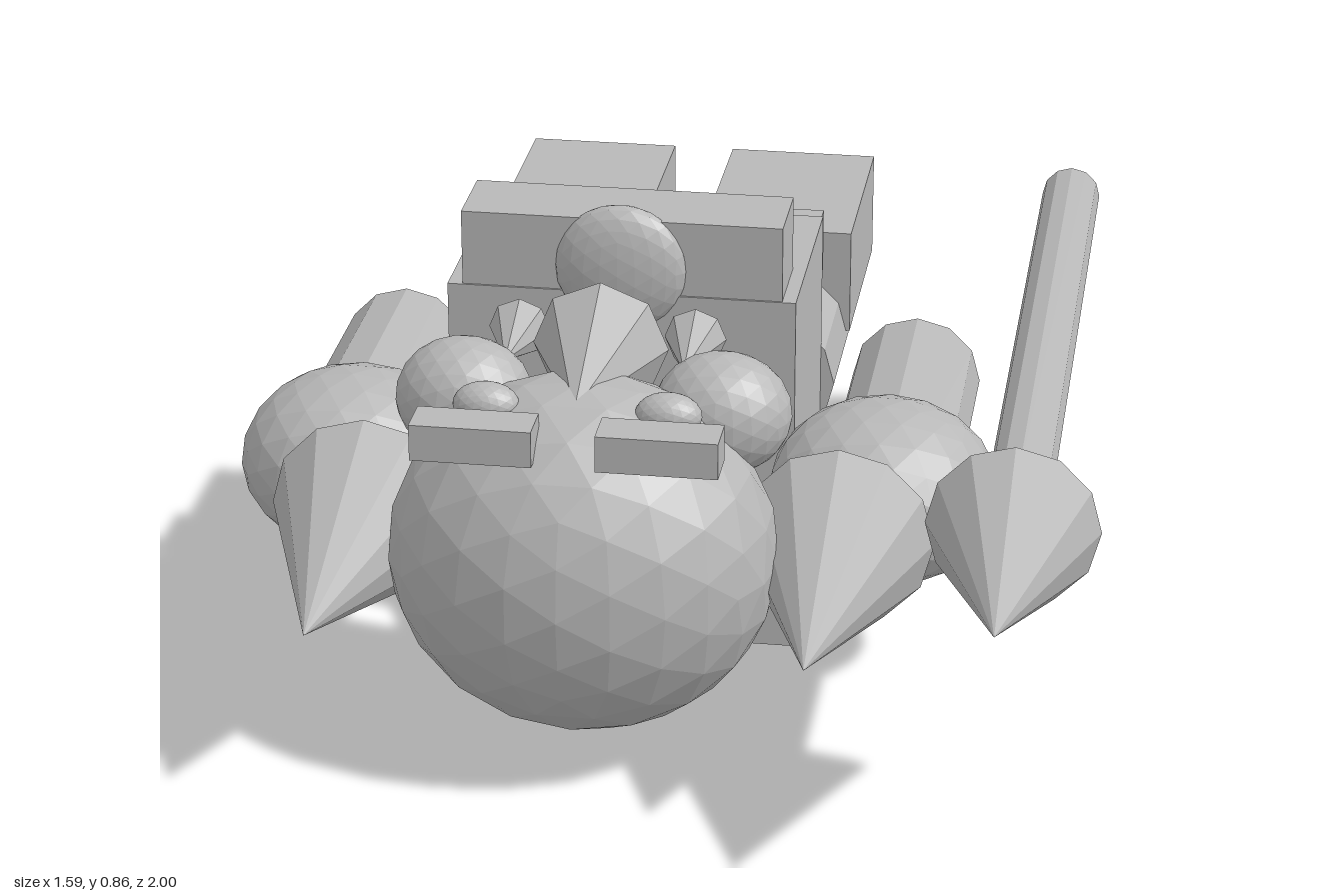
import * as THREE from 'three';

export function createModel() {
  const root = new THREE.Group();
  const grey = new THREE.MeshStandardMaterial({ color: 0xb8b8b8, flatShading: true });
  grey.name = 'plainGrey';
  const CX = -0.104; // centre line of the figure

  const add = (name, geo, x, y, z, parent = root) => {
    const m = new THREE.Mesh(geo, grey);
    m.name = name;
    m.position.set(x, y, z);
    parent.add(m);
    return m;
  };
  // Box given by its extents
  const box = (name, x0, x1, y0, y1, z0, z1, p) =>
    add(name, new THREE.BoxGeometry(x1 - x0, y1 - y0, z1 - z0),
      (x0 + x1) / 2, (y0 + y1) / 2, (z0 + z1) / 2, p);
  // Faceted ellipsoid
  const ball = (name, x, y, z, rx, ry, rz, p) =>
    add(name, new THREE.IcosahedronGeometry(1, 3).scale(rx, ry, rz), x, y, z, p);
  // Rod or cone running along z from z0 to z1
  const rod = (name, x, y, z0, z1, r0, r1, sides = 12, p = root) =>
    add(name, new THREE.CylinderGeometry(r1, r0, z1 - z0, sides).rotateX(Math.PI / 2),
      x, y, (z0 + z1) / 2, p);

  // Torso, lying on its back
  box('torso', -0.42, 0.213, 0, 0.69, -0.36, 0.057);
  box('belt', -0.415, 0.208, 0.56, 0.68, -0.415, -0.3);
  box('chestPlate', -0.393, 0.188, 0.67, 0.83, -0.1, 0.053);
  ball('chestGem', CX, 0.737, 0.048, 0.12, 0.12, 0.047);

  // Head
  const head = new THREE.Group();
  head.name = 'headGroup';
  root.add(head);
  ball('head', CX, 0.38, 0.472, 0.343, 0.322, 0.28, head);
  rod('snoutCone', CX, 0.68, 0.27, 0.55, 0.12, 0, 8, head);

  // Mirrored parts
  for (const s of [-1, 1]) {
    const side = s > 0 ? 'left' : 'right';
    const at = (d) => CX + s * d;
    ball(side + 'Cheek', at(0.227), 0.607, 0.357, 0.122, 0.109, 0.104, head);
    ball(side + 'Eye', at(0.157), 0.67, 0.518, 0.058, 0.04, 0.04, head);
    rod(side + 'Tusk', at(0.157), 0.675, 0.2, 0.345, 0.055, 0, 8, head);
    box(side + 'Brow', at(0.158) - 0.104, at(0.158) + 0.104, 0.624, 0.689, 0.583, 0.662, head);

    // Arm with a shoulder ball and a spike
    rod(side + 'Arm', at(0.495), 0.35, -0.412, 0.08, 0.121, 0.121);
    ball(side + 'Shoulder', at(0.486), 0.355, 0.103, 0.208, 0.165, 0.207);
    rod(side + 'Spike', at(0.424), 0.347, 0.293, 0.792, 0.172, 0);

    // Leg and upturned foot
    rod(side + 'Leg', at(0.204), 0.35, -0.875, -0.355, 0.139, 0.139);
    box(side + 'Foot', at(0.203) - 0.144, at(0.203) + 0.144, 0.362, 0.566, -1, -0.583);
  }

  // Spear
  rod('spearShaft', 0.647, 0.543, -0.91, 0.61, 0.056, 0.056);
  rod('spearHead', 0.647, 0.543, 0.603, 1, 0.148, 0);

  return root;
}
